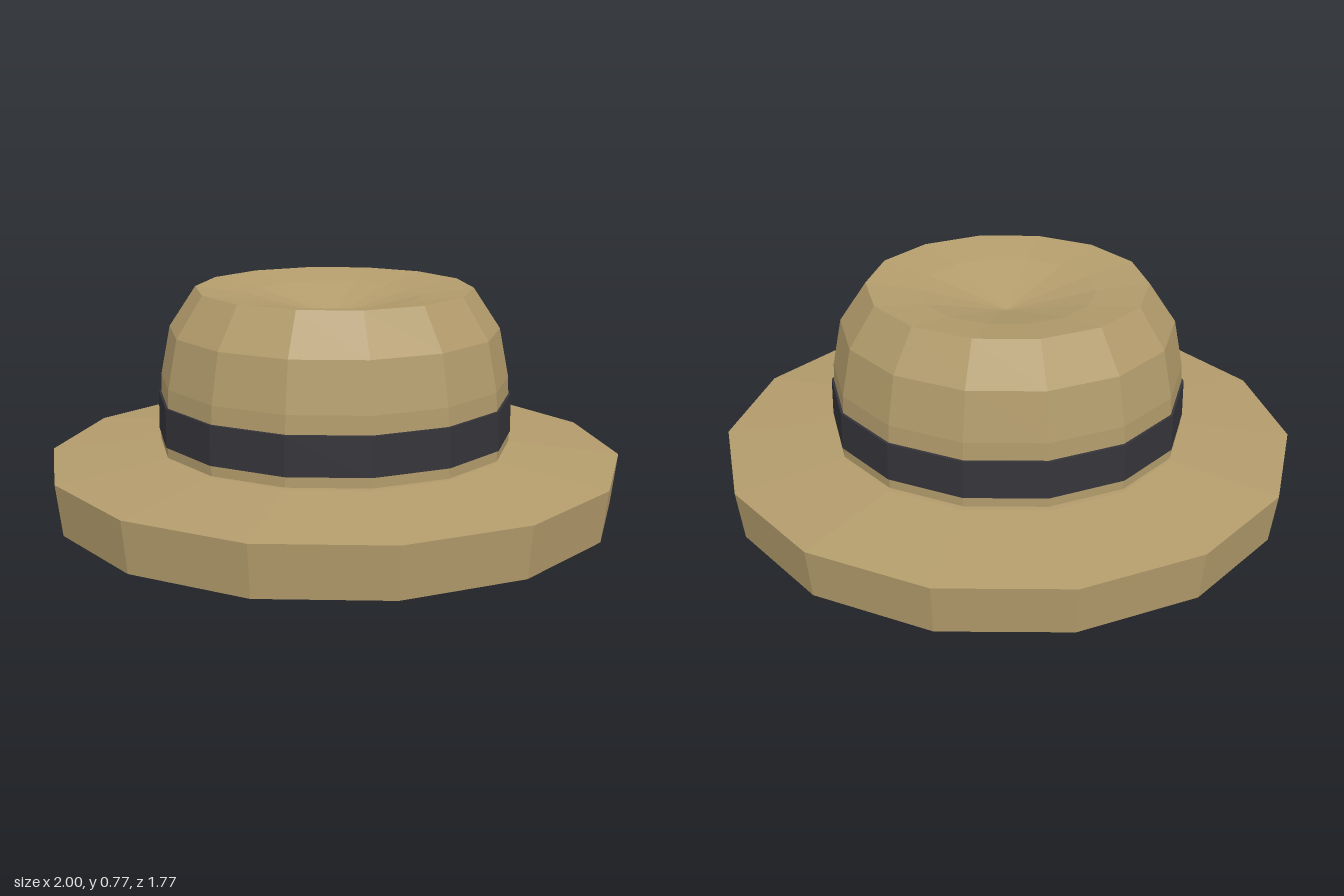
import * as THREE from 'three';

const SIDES = 14;

export function createModel() {
  const felt = new THREE.MeshStandardMaterial({ color: 0xb39c6c, flatShading: true });
  felt.name = 'tan felt';
  const ribbon = new THREE.MeshStandardMaterial({ color: 0x35343a, flatShading: true });
  ribbon.name = 'charcoal ribbon';

  const hat = new THREE.Group();
  hat.name = 'hat';

  // Faceted turned part, flattened to an oval front to back
  function ring(name, profile, material, depth) {
    const points = profile.map(([r, y]) => new THREE.Vector2(r, y));
    const geometry = new THREE.LatheGeometry(points, SIDES, Math.PI / 2);
    geometry.scale(1, 1, depth);
    const mesh = new THREE.Mesh(geometry, material);
    mesh.name = name;
    hat.add(mesh);
  }

  // Thick brim with an open head hole
  ring('brim', [
    [0.49, 0], [0.98, 0], [1, 0.18], [0.615, 0.225], [0.49, 0.225], [0.49, 0],
  ], felt, 0.908);

  // Crown with tapered sides and a dished top
  ring('crown', [
    [0.613, 0.2], [0.613, 0.28], [0.604, 0.46], [0.57, 0.63], [0.477, 0.77],
    [0.3, 0.745], [0, 0.67],
  ], felt, 0.875);

  // Hollow inside of the crown
  ring('crownLining', [
    [0, 0.62], [0.4, 0.64], [0.47, 0.57], [0.5, 0.42], [0.505, 0.2], [0.613, 0.2],
  ], felt, 0.875);

  // Ribbon around the base of the crown
  ring('hatBand', [
    [0.6, 0.262], [0.618, 0.262], [0.615, 0.397], [0.6, 0.397],
  ], ribbon, 0.88);

  return hat;
}
